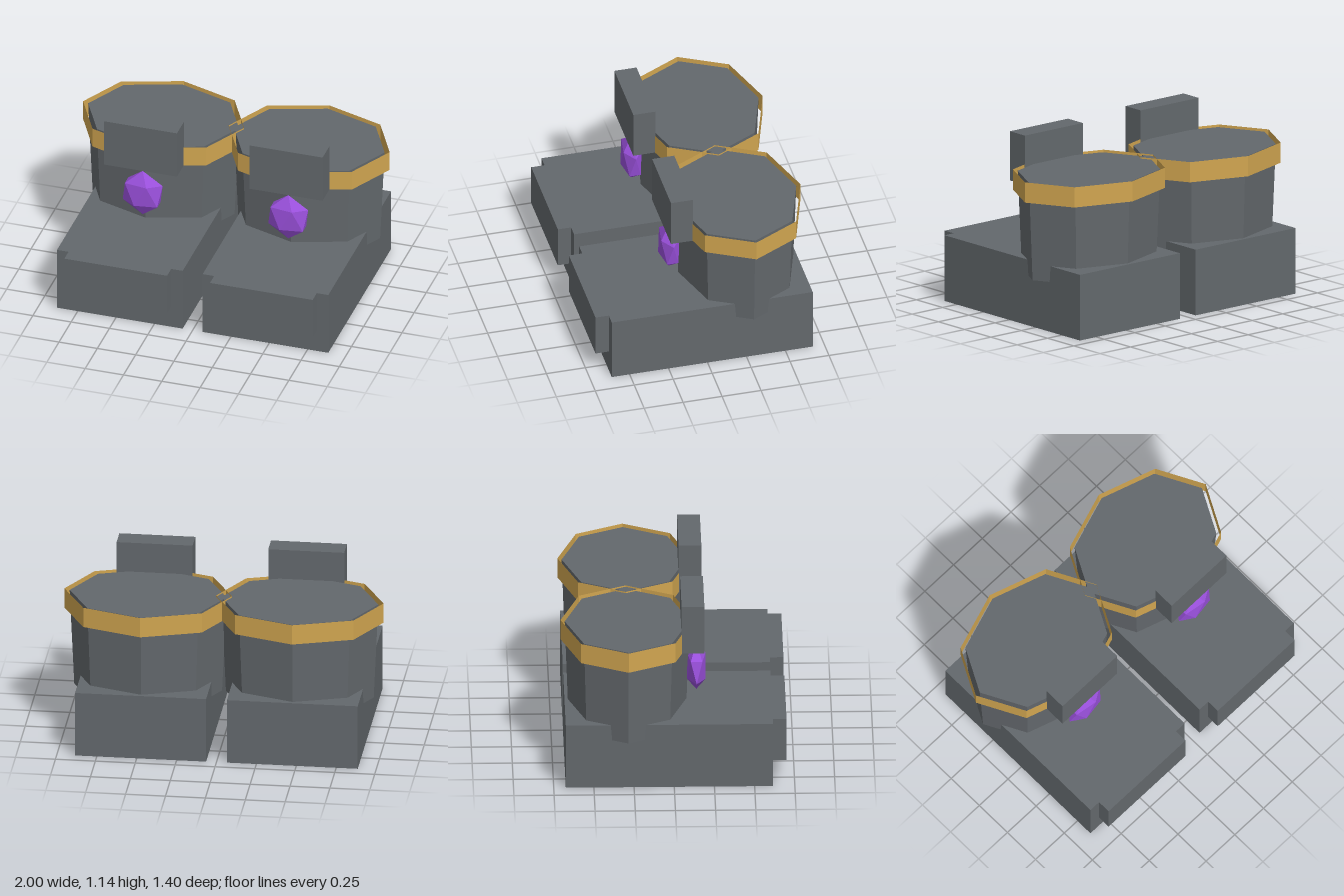
import * as THREE from 'three';
import { ConvexGeometry } from 'three/addons/geometries/ConvexGeometry.js';

const mat = (name, color, extra = {}) =>
  new THREE.MeshStandardMaterial({ name, color, flatShading: true, ...extra });

function add(group, name, geometry, material, x, y, z) {
  const mesh = new THREE.Mesh(geometry, material);
  mesh.name = name;
  mesh.position.set(x, y, z);
  group.add(mesh);
  return mesh;
}

// Octagonal tube, squashed front to back, with a corner on each axis
function octagon(top, bottom, height, open) {
  return new THREE.CylinderGeometry(top, bottom, height, 8, 1, open).scale(1, 1, 0.79);
}

// Twenty-sided gem standing on its point: two poles and two staggered rings of five
function gemGeometry(rx, ry, rz) {
  const points = [new THREE.Vector3(0, ry, 0), new THREE.Vector3(0, -ry, 0)];
  for (let i = 0; i < 5; i++) {
    const a = (i / 5) * Math.PI * 2;
    const x = Math.cos(a) * rx, z = Math.sin(a) * rz;
    points.push(new THREE.Vector3(x, ry * 0.447, z), new THREE.Vector3(-x, -ry * 0.447, z));
  }
  return new ConvexGeometry(points);
}

export function createModel() {
  const model = new THREE.Group();
  model.name = 'boots';
  const leather = mat('slate grey', 0x63686c);
  const gold = mat('gold', 0xd0a550, { side: THREE.DoubleSide });
  const purple = mat('purple', 0x9a50dc);

  for (const [name, x] of [['leftBoot', 0.475], ['rightBoot', -0.475]]) {
    const boot = new THREE.Group();
    boot.name = name;
    boot.position.x = x;

    // Foot and toe cap
    add(boot, 'foot', new THREE.BoxGeometry(0.82, 0.422, 1.29), leather, 0, 0.211, -0.03);
    add(boot, 'toeCap', new THREE.BoxGeometry(0.67, 0.278, 0.085), leather, 0, 0.283, 0.6575);

    // Flared shaft with an open band around its top
    add(boot, 'shaft', octagon(0.492, 0.463, 0.63, false), leather, 0, 0.635, -0.285);
    add(boot, 'cuffBand', octagon(0.525, 0.525, 0.13, true), gold, 0, 0.894, -0.285);

    // Knee plate and the gem below it
    add(boot, 'kneePlate', new THREE.BoxGeometry(0.476, 0.316, 0.142), leather, 0, 0.987, 0.12);
    add(boot, 'gem', gemGeometry(0.13, 0.158, 0.061), purple, 0, 0.642, 0.145);

    model.add(boot);
  }
  return model;
}
